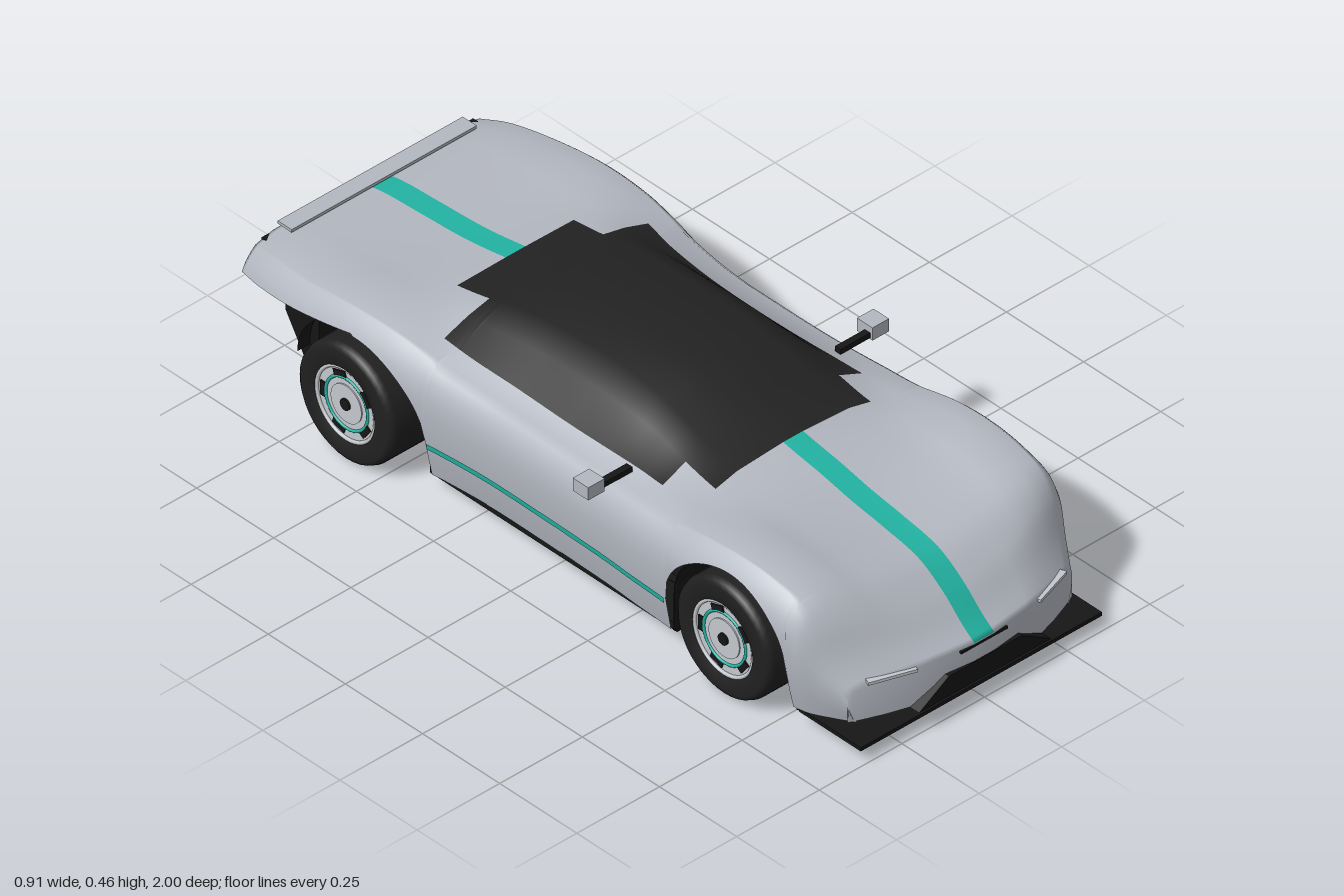
import * as THREE from 'three';

const paint = (name, color, side = THREE.FrontSide) => {
  const m = new THREE.MeshStandardMaterial({ color, side });
  m.name = name;
  return m;
};
const silver = paint('silver paint', 0xb3b7c0, THREE.DoubleSide);
const glass = paint('canopy black', 0x222222, THREE.DoubleSide);
const teal = paint('teal stripe', 0x22b3a2, THREE.DoubleSide);
const black = paint('underbody black', 0x161616, THREE.DoubleSide);
const rubber = paint('tyre rubber', 0x202020);
const alloy = paint('wheel alloy', 0xc3c7cc);
const red = paint('tail light red', 0x9c2a1c);

// Stations: z, half width, then heights at centre, x .17, x .235, x .30 and fender crest
const stations = [
  [-1, .385, .34, .34, .34, .338, .325],
  [-.92, .405, .357, .357, .358, .358, .348],
  [-.8, .425, .365, .366, .37, .372, .362],
  [-.65, .43, .375, .377, .383, .388, .378],
  [-.52, .425, .395, .393, .39, .388, .378],
  [-.42, .415, .415, .41, .395, .37, .365],
  [-.34, .405, .435, .43, .40, .355, .35],
  [-.2, .395, .453, .447, .41, .345, .338],
  [-.03, .395, .46, .455, .415, .34, .335],
  [.1, .397, .452, .445, .41, .342, .335],
  [.2, .40, .43, .42, .395, .345, .338],
  [.28, .405, .405, .395, .375, .345, .34],
  [.39, .41, .378, .37, .355, .35, .345],
  [.5, .42, .36, .358, .36, .367, .36],
  [.6, .42, .34, .345, .36, .375, .367],
  [.7, .415, .325, .335, .355, .367, .36],
  [.82, .405, .30, .31, .325, .335, .33],
  [.9, .395, .25, .26, .275, .285, .28],
  [.96, .37, .195, .20, .205, .205, .20],
  [1, .34, .165, .165, .16, .155, .15],
];

// Smooth value of one station column at any z
function at(z, k) {
  const n = stations.length;
  let i = 0;
  while (i < n - 2 && z > stations[i + 1][0]) i++;
  const slope = (j) => {
    const a = stations[Math.max(j - 1, 0)], b = stations[Math.min(j + 1, n - 1)];
    return (b[k] - a[k]) / (b[0] - a[0]);
  };
  const a = stations[i], b = stations[i + 1], h = b[0] - a[0], t = (z - a[0]) / h;
  return a[k] * (2 * t ** 3 - 3 * t * t + 1) + b[k] * (3 * t * t - 2 * t ** 3)
    + h * (slope(i) * (t ** 3 - 2 * t * t + t) + slope(i + 1) * (t ** 3 - t * t));
}

// Lower edge of the body side, with both wheel arches
const SILL = 0.055;
function lowerEdge(z) {
  if (z < -0.6) return 0.335 + 0.16 * (z + 0.6);
  const d = z < 0 ? (z + 0.6) / 0.22 : (z - 0.6) / 0.2;
  return Math.abs(d) <= 1.00001 ? 0.15 + 0.18 * Math.sqrt(Math.max(0, 1 - d * d)) : SILL;
}

// Body side: x for a given height
function sideX(z, y) {
  const t = (at(z, 6) - y) / (at(z, 6) - SILL);
  const f = t < 0.35 ? 1 - 0.12 * (1 - t / 0.35) ** 2.5 : 1 - 0.06 * ((t - 0.35) / 0.65) ** 2;
  return at(z, 1) * f;
}

// Nose sections sweep backwards towards the sides
const bend = (x, z) => z - 0.08 * (x / 0.34) ** 2 * THREE.MathUtils.smoothstep(z, 0.75, 1);

function halfSection(z) {
  const s = at(z, 1) / 0.41, crest = at(z, 6), e = lowerEdge(z);
  const pts = [[0.03, at(z, 2)], [0.17 * s, at(z, 3)], [0.235 * s, at(z, 4)], [0.305 * s, at(z, 5)]];
  for (const t of [0, 0.06, 0.13, 0.24, 0.4, 0.6, 0.8, 1]) {
    const y = crest - (crest - e) * t;
    pts.push([sideX(z, y), y]);
  }
  return pts;
}

function section(z, capY) {
  const half = halfSection(z);
  const full = [...half.map(([x, y]) => [-x, y]).reverse(), ...half];
  return full.map(([x, y]) => [x, capY === undefined ? y : Math.min(y, capY), bend(x, z)]);
}

// Surface through rows of points; pick(row, column) gives the material index
function grid(rows, pick) {
  const n = rows[0].length, buckets = [];
  for (let i = 0; i < rows.length - 1; i++) for (let j = 0; j < n - 1; j++) {
    const a = i * n + j, c = a + n;
    (buckets[pick(i, j)] ??= []).push(a, c, a + 1, a + 1, c, c + 1);
  }
  const g = new THREE.BufferGeometry();
  g.setAttribute('position', new THREE.Float32BufferAttribute(rows.flat(2), 3));
  let start = 0;
  buckets.forEach((b, m) => { g.addGroup(start, b.length, m); start += b.length; });
  g.setIndex(buckets.flat());
  g.computeVertexNormals();
  return g;
}

function bodyShell() {
  const zs = [0.398, 0.802, -0.378];
  for (let i = -100; i <= 100; i++) zs.push(i / 100);
  zs.sort((a, b) => a - b);
  const rows = [section(-1, 0.27), ...zs.map((z) => section(z)), section(1, 0.06)];
  const mid = 11; // centre strip column
  return grid(rows, (i, j) => {
    if (i === 0 || i === rows.length - 2) return 0;
    const z = (zs[i - 1] + zs[i]) / 2, col = Math.abs(j - mid);
    const reach = z > 0.38 || z < -0.52 ? -1 : z > 0.28 ? 2 : z > -0.42 ? 3 : 1;
    return col <= reach ? 1 : col === 0 ? 2 : 0;
  });
}

export function createModel() {
  const car = new THREE.Group();
  car.name = 'sportsCar';
  const add = (name, geo, mat, x = 0, y = 0, z = 0, parent = car) => {
    const m = new THREE.Mesh(geo, mat);
    m.name = name;
    m.position.set(x, y, z);
    parent.add(m);
    return m;
  };
  const box = (name, mat, w, h, d, x, y, z) => add(name, new THREE.BoxGeometry(w, h, d), mat, x, y, z);

  add('bodyShell', bodyShell(), [silver, glass, teal]);

  // Underbody, splitter and inner tub
  box('floor', black, 0.74, 0.02, 0.8, 0, 0.05, 0);
  box('floorSpine', black, 0.54, 0.02, 1.7, 0, 0.051, 0);
  box('innerTub', black, 0.5, 0.23, 1.6, 0, 0.17, -0.02);
  box('frontSplitter', black, 0.73, 0.01, 0.2, 0, 0.037, 0.89);
  box('noseFloor', black, 0.62, 0.03, 0.1, 0, 0.055, 0.86);

  // Tail block, narrower and raised at its back
  const tail = new THREE.BoxGeometry(0.74, 0.24, 0.22);
  const p = tail.attributes.position;
  for (let i = 0; i < p.count; i++) if (p.getZ(i) < 0) {
    p.setX(i, p.getX(i) * 0.72);
    if (p.getY(i) < 0) p.setY(i, -0.06);
  }
  tail.computeVertexNormals();
  add('tailBlock', tail, black, 0, 0.18, -0.87);
  box('rearPanel', silver, 0.5, 0.13, 0.012, 0, 0.225, -0.984);
  box('rearPanelStripe', teal, 0.5, 0.012, 0.006, 0, 0.225, -0.991);
  box('lightBarFrame', black, 0.64, 0.035, 0.02, 0, 0.318, -0.99);
  box('tailLight', red, 0.6, 0.016, 0.006, 0, 0.318, -0.9985);
  box('rearSpoiler', silver, 0.56, 0.008, 0.045, 0, 0.362, -0.968);
  for (let i = -2; i <= 2; i++) {
    const fin = box('diffuserFin', black, 0.01, 0.06, 0.18, i * 0.1, 0.085, -0.89);
    fin.rotation.x = 0.33;
  }

  // Nose intake and light strips
  const intake = new THREE.Shape([[-0.2, 0.06], [0.2, 0.06], [0.11, 0.115], [-0.11, 0.115]]
    .map(([x, y]) => new THREE.Vector2(x, y)));
  add('noseIntake', new THREE.ExtrudeGeometry(intake, { depth: 0.03, bevelEnabled: false }), black, 0, 0, 0.972);
  box('noseStrip', black, 0.14, 0.006, 0.008, 0, 0.158, 0.997);

  const tyre = (w) => new THREE.LatheGeometry([[0.098, -w / 2], [0.14, -w / 2], [0.15, -w / 2 + 0.007],
    [0.155, -w / 2 + 0.02], [0.155, w / 2 - 0.02], [0.15, w / 2 - 0.007], [0.14, w / 2], [0.1, w / 2], [0.096, w / 2 - 0.015]]
    .map(([r, y]) => new THREE.Vector2(r, y)), 40).rotateZ(-Math.PI / 2);
  const disc = (r, d) => new THREE.CylinderGeometry(r, r, d, 36).rotateZ(-Math.PI / 2);
  const ring = (r, tube) => new THREE.TorusGeometry(r, tube, 8, 40).rotateY(Math.PI / 2);

  for (const s of [1, -1]) {
    // Wheels and arch liners
    for (const [z, outer, w, half] of [[0.6, 0.422, 0.125, 0.2], [-0.6, 0.445, 0.165, 0.22]]) {
      const wheel = new THREE.Group();
      wheel.name = z > 0 ? 'frontWheel' : 'rearWheel';
      wheel.position.set(s * (outer - w / 2), 0.155, z);
      if (s < 0) wheel.rotation.y = Math.PI;
      car.add(wheel);
      const face = w / 2 - 0.008;
      add('tyre', tyre(w), rubber, 0, 0, 0, wheel);
      add('rim', disc(0.098, w - 0.02), alloy, 0, 0, 0, wheel);
      add('rimLip', ring(0.095, 0.005), alloy, face, 0, 0, wheel);
      add('tealRing', ring(0.068, 0.004), teal, face - 0.002, 0, 0, wheel);
      add('hubDisc', disc(0.05, 0.01), alloy, face - 0.004, 0, 0, wheel);
      add('hubNut', disc(0.015, 0.012), black, face, 0, 0, wheel);
      for (let i = 0; i < 5; i++) {
        const a = (i * 2 * Math.PI) / 5 + 0.3;
        const slot = add('rimSlot', new THREE.BoxGeometry(0.008, 0.016, 0.04), black,
          face - 0.003, 0.076 * Math.cos(a), 0.076 * Math.sin(a), wheel);
        slot.rotation.x = a;
      }
      const liner = new THREE.CylinderGeometry(1, 1, 0.13, 32, 1, true, 0, Math.PI)
        .rotateZ(Math.PI / 2).rotateX(0);
      const lp = liner.attributes.position;
      for (let i = 0; i < lp.count; i++) lp.setXYZ(i, lp.getX(i), Math.abs(lp.getY(i)) * 0.175, lp.getZ(i) * half);
      liner.computeVertexNormals();
      add('archLiner', liner, black, s * 0.315, 0.15, z);
      for (const e of z > 0 ? [1, -1] : [1]) {
        box('archWall', black, 0.13, 0.1, 0.006, s * 0.315, 0.1, z + e * half);
      }
    }

    // Door line following the body side
    const rows = [];
    for (let z = -0.375; z <= 0.396; z += 0.0257) {
      rows.push([0.136, 0.152].map((y) => [s * (sideX(z, y) + 0.003), y, z]));
    }
    add('doorStripe', grid(rows, () => 0), [teal]);

    // Mirror and headlight strip
    box('mirrorStalk', black, 0.1, 0.014, 0.018, s * 0.365, 0.35, 0.187);
    box('mirror', silver, 0.05, 0.035, 0.05, s * 0.43, 0.357, 0.178);
    const lamp = box('headlight', alloy, 0.12, 0.008, 0.02, s * 0.24, 0.16, 0.955);
    lamp.rotation.y = s * 0.32;
  }
  return car;
}
